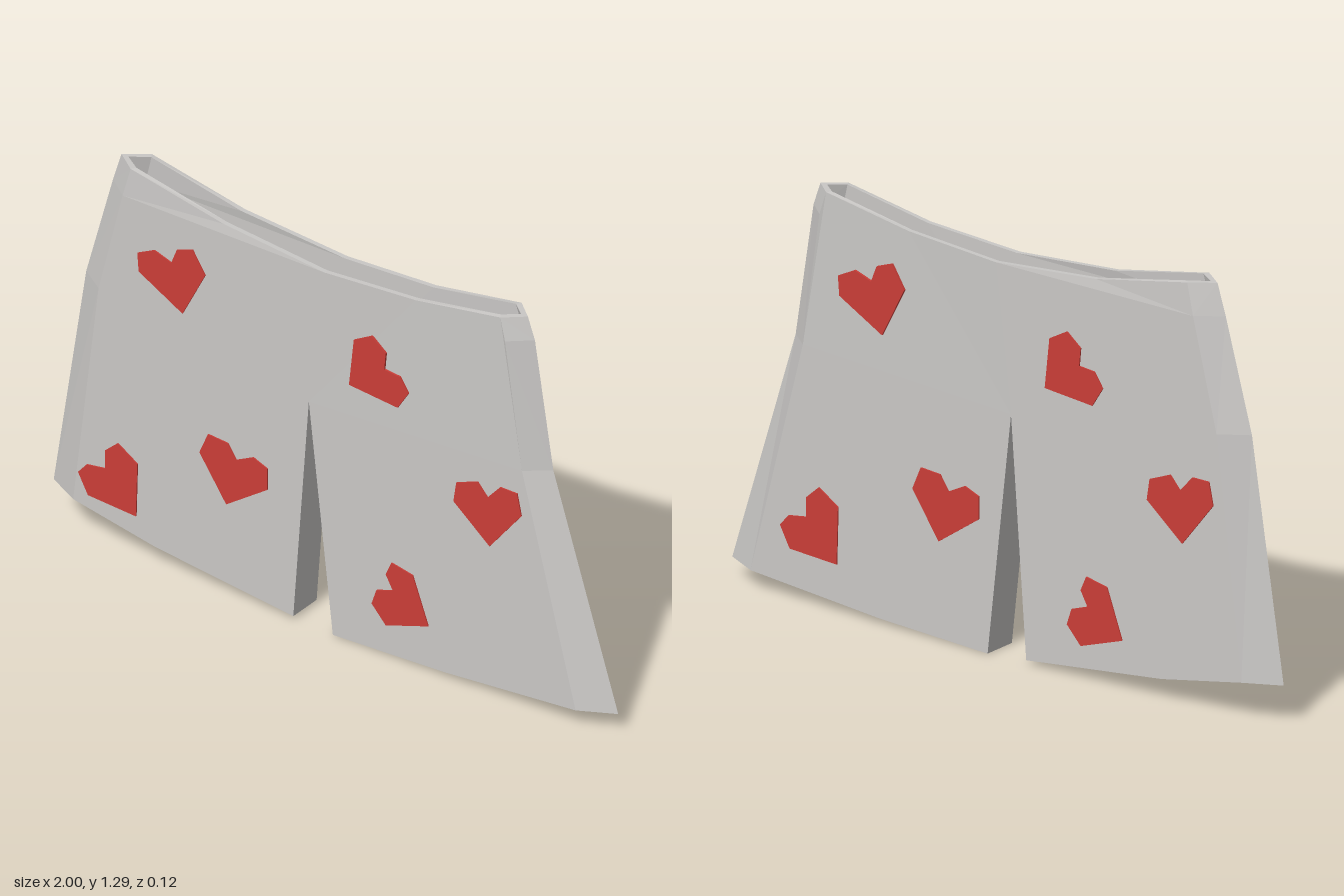
import * as THREE from 'three';

const cloth = new THREE.MeshStandardMaterial({ color: 0xcac8c6, side: THREE.DoubleSide });
cloth.name = 'grey cloth';
const red = new THREE.MeshStandardMaterial({ color: 0xcb3e38 });
red.name = 'heart red';

// Side seams, top to bottom: [fold x, y, outer ridge x]
const LEFT_EDGE = [[-0.69, 1.295, -0.76], [-0.715, 1.2, -0.79], [-0.8, 0.86, -0.885], [-0.89, 0.125, -1]];
const RIGHT_EDGE = [[0.62, 1.27, 0.68], [0.64, 1.2, 0.705], [0.7, 0.79, 0.77], [0.89, 0.06, 1]];
const WAIST = [[-0.36, 1.23], [0, 1.2], [0.32, 1.22]];
const HEM_A = [[-0.6, 0.07], [-0.11, 0.015]];
const HEM_B = [[0.03, 0.003], [0.42, 0.02]];
const CROTCH = [-0.055, 0.75];

// Heart outlines [x, y]; last value is the sideways shift of the copy on the back
const HEARTS = [
  { shift: 0.09, pts: [[-0.66, 1.03], [-0.6, 1.06], [-0.54, 1.04], [-0.52, 1.09], [-0.465, 1.11], [-0.42, 1.04], [-0.5, 0.885], [-0.655, 0.97]] },
  { shift: 0.09, pts: [[0.107, 1.015], [0.17, 1.05], [0.22, 1.01], [0.215, 0.955], [0.27, 0.95], [0.3, 0.905], [0.262, 0.845], [0.09, 0.86]] },
  { shift: 0.09, pts: [[0.47, 0.67], [0.545, 0.7], [0.58, 0.66], [0.625, 0.71], [0.685, 0.71], [0.7, 0.64], [0.588, 0.5], [0.46, 0.605]] },
  { shift: 0.14, pts: [[-0.41, 0.515], [-0.34, 0.51], [-0.31, 0.465], [-0.25, 0.495], [-0.2, 0.475], [-0.2, 0.405], [-0.345, 0.305], [-0.44, 0.445]] },
  { shift: 0.09, pts: [[-0.87, 0.225], [-0.84, 0.26], [-0.775, 0.27], [-0.775, 0.33], [-0.73, 0.37], [-0.66, 0.325], [-0.665, 0.15], [-0.835, 0.16]] },
  { shift: 0.09, pts: [[0.17, 0.16], [0.187, 0.21], [0.245, 0.23], [0.22, 0.275], [0.24, 0.32], [0.315, 0.305], [0.37, 0.155], [0.22, 0.105]] },
];

function meshFrom(name, positions) {
  const g = new THREE.BufferGeometry();
  g.setAttribute('position', new THREE.Float32BufferAttribute(positions, 3));
  g.computeVertexNormals();
  const m = new THREE.Mesh(g, cloth);
  m.name = name;
  return m;
}

// Band of quads between two rows of points
function strip(a, b, closed = false) {
  const out = [];
  const n = closed ? a.length : a.length - 1;
  for (let i = 0; i < n; i++) {
    const j = (i + 1) % a.length;
    out.push(...a[i], ...b[i], ...b[j], ...a[i], ...b[j], ...a[j]);
  }
  return out;
}

// One layer of the garment, drawn in by `inset`, with half depth `z`
function layer(inset, z) {
  const depth = (y) => (y > 1.2 ? z - 0.005 : z);
  const fold = (e, s) => e.map(([x, y]) => [x - s * inset * 0.6, y]);
  const ridge = (e, s) => e.map(([, y, r]) => [r - s * inset * 1.5, y, 0]);
  const left = fold(LEFT_EDGE, -1), right = fold(RIGHT_EDGE, 1);
  const ridgeL = ridge(LEFT_EDGE, -1), ridgeR = ridge(RIGHT_EDGE, 1);
  const hemA = [HEM_A[0], [HEM_A[1][0] - inset, HEM_A[1][1]]];
  const hemB = [[HEM_B[0][0] + inset, HEM_B[0][1]], HEM_B[1]];
  const crotch = [CROTCH[0], CROTCH[1] + inset];
  const at = (pts, s) => pts.map(([x, y]) => [x, y, s * depth(y)]);

  // Flat panel outline, clockwise from the waist
  const outline = [left[0], ...WAIST, ...right, hemB[1], hemB[0], crotch, hemA[1], hemA[0],
    ...left.slice(1).reverse()];
  const tris = THREE.ShapeUtils.triangulateShape(outline.map((p) => new THREE.Vector2(...p)), []);
  const panel = (s) => {
    const p = at(outline, s);
    return tris.flatMap((t) => t.flatMap((i) => p[i]));
  };
  const sides = [[left, ridgeL], [right, ridgeR]].flatMap(([f, r]) =>
    [...strip(at(f, 1), r), ...strip(r, at(f, -1))]);
  const slit = [hemA[1], crotch, hemB[0]];

  // Open ring around the waist or a leg
  const ring = (row, endA, endB) => [
    ...at(row, 1), ...(endB ? [endB] : []), ...at([...row].reverse(), -1), ...(endA ? [endA] : []),
  ];
  return {
    front: panel(1), back: panel(-1), sides,
    slit: strip(at(slit, 1), at(slit, -1)),
    waist: ring([left[0], ...WAIST, right[0]], ridgeL[0], ridgeR[0]),
    legA: ring([left[3], ...hemA], ridgeL[3], null),
    legB: ring([...hemB, right[3]], null, ridgeR[3]),
  };
}

function heart(pts) {
  const shape = new THREE.Shape(pts.map((p) => new THREE.Vector2(...p)));
  const g = new THREE.ExtrudeGeometry(shape, { depth: 0.008, bevelEnabled: false });
  g.translate(0, 0, 0.052);
  const m = new THREE.Mesh(g, red);
  m.name = 'heart';
  return m;
}

export function createModel() {
  const model = new THREE.Group();
  model.name = 'shorts';

  // Outer cloth and lining
  const outer = layer(0, 0.056), inner = layer(0.016, 0.041);
  for (const part of ['front', 'back', 'sides', 'slit']) {
    model.add(meshFrom(part + 'Cloth', outer[part]), meshFrom(part + 'Lining', inner[part]));
  }

  // Rims closing the cloth thickness at the openings
  for (const part of ['waist', 'legA', 'legB']) {
    const name = { waist: 'waistRim', legA: 'rightLegHem', legB: 'leftLegHem' }[part];
    model.add(meshFrom(name, strip(outer[part], inner[part], true)));
  }

  // Hearts on the front, repeated on the back
  const frontHearts = new THREE.Group(), backHearts = new THREE.Group();
  frontHearts.name = 'frontHearts';
  backHearts.name = 'backHearts';
  for (const { pts, shift } of HEARTS) {
    frontHearts.add(heart(pts));
    const copy = heart(pts);
    copy.position.x = shift;
    backHearts.add(copy);
  }
  backHearts.rotation.y = Math.PI;
  model.add(frontHearts, backHearts);
  return model;
}
